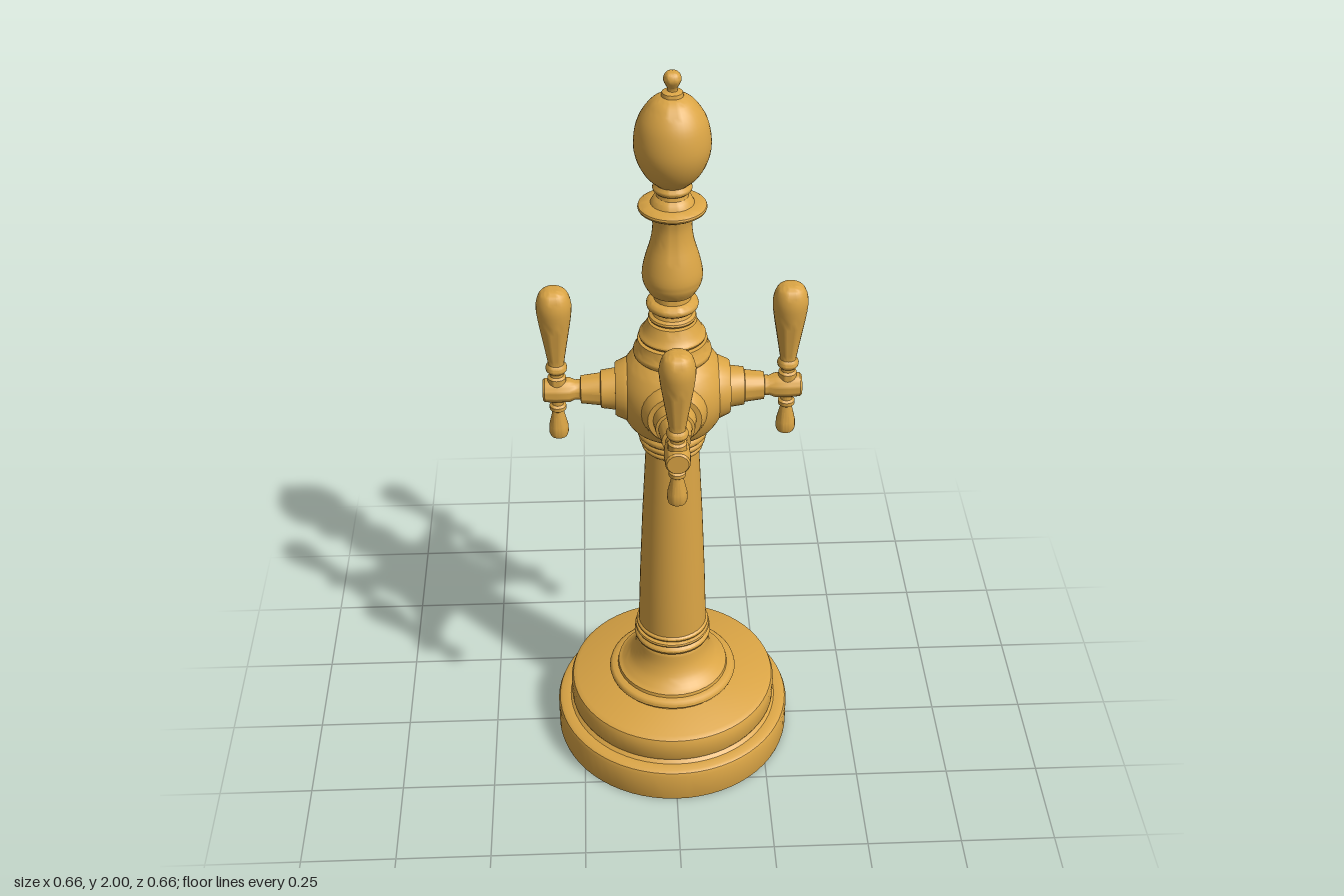
import * as THREE from 'three';
import { toCreasedNormals } from 'three/addons/utils/BufferGeometryUtils.js';

const brass = new THREE.MeshStandardMaterial({ color: 0xdba545 });
brass.name = 'brass';

// Turned part: profile of [radius, height] pairs, bottom to top
function turned(name, profile, segments = 40) {
  const points = profile.map(([r, y]) => new THREE.Vector2(r, y));
  const geometry = toCreasedNormals(new THREE.LatheGeometry(points, segments), 0.6);
  const mesh = new THREE.Mesh(geometry, brass);
  mesh.name = name;
  return mesh;
}

// Smooth profile drawn through a few points
function smooth(profile, count = 20) {
  const curve = new THREE.SplineCurve(profile.map(([r, y]) => new THREE.Vector2(r, y)));
  return curve.getPoints(count).map((p) => [Math.max(p.x, 0), p.y]);
}

// Profile of a rounded ring between two heights
function ring(r, y0, y1, depth = 0.01) {
  const h = y1 - y0;
  return [[r - depth, y0], [r - depth * 0.2, y0 + h * 0.25], [r, y0 + h * 0.5],
    [r - depth * 0.2, y0 + h * 0.75], [r - depth, y1]];
}

// One tap, pointing along +z
function createTap() {
  const tap = new THREE.Group();
  tap.name = 'tap';
  const y = 1.145, z = 0.287;

  const arm = turned('tapArm', [
    [0, 0.08], [0.082, 0.08], [0.082, 0.112], [0.077, 0.122], [0.07, 0.138], [0.066, 0.143],
    [0.053, 0.143], [0.048, 0.178], [0.041, 0.18], [0.035, 0.228], [0.026, 0.23],
    [0.025, 0.242], [0.031, 0.256], [0.032, 0.29], [0.03, 0.318], [0.026, 0.323], [0, 0.323],
  ], 28);
  arm.rotation.x = Math.PI / 2;
  arm.position.y = y;

  const handle = turned('tapHandle', [
    [0, 1.15], [0.023, 1.15], [0.023, 1.185], [0.017, 1.19], [0.017, 1.2], ...ring(0.027, 1.2, 1.225, 0.007),
    ...smooth([[0.02, 1.228], [0.03, 1.29], [0.041, 1.36], [0.043, 1.398], [0.034, 1.427], [0.018, 1.438], [0, 1.44]]),
  ], 24);
  handle.position.z = z;

  const spout = turned('tapSpout', [
    [0, 1.01], [0.022, 1.01], [0.025, 1.02], [0.024, 1.04], [0.016, 1.075], [0.015, 1.085],
    [0.021, 1.09], [0.021, 1.1], [0.015, 1.105], [0.015, 1.14],
  ], 20);
  spout.position.z = z;

  tap.add(arm, handle, spout);
  return tap;
}

export function createModel() {
  const model = new THREE.Group();
  model.name = 'beerTower';

  // Stepped round foot
  model.add(turned('base', [
    [0, 0], [0.32, 0], [0.322, 0.008], [0.322, 0.085], [0.318, 0.095], [0.31, 0.1], [0.287, 0.1],
    [0.278, 0.108], [0.283, 0.118], [0.283, 0.165], [0.278, 0.178], [0.266, 0.185], [0, 0.185],
  ], 64));

  // Flared plinth under the column
  model.add(turned('columnFoot', [
    [0, 0.18], [0.163, 0.18], [0.163, 0.192], ...ring(0.175, 0.192, 0.214, 0.008), [0.152, 0.216], [0.15, 0.225],
    ...smooth([[0.143, 0.228], [0.118, 0.252], [0.102, 0.285], [0.096, 0.322]], 10),
    ...ring(0.104, 0.325, 0.35), ...ring(0.102, 0.35, 0.367), ...ring(0.098, 0.367, 0.384, 0.007),
  ]));

  // Tapered column
  model.add(turned('column', [[0.092, 0.38], [0.087, 0.55], [0.079, 0.75], [0.068, 0.97]]));

  // Stacked collar below the hub
  model.add(turned('lowerCollar', [
    [0.066, 0.966], ...ring(0.079, 0.968, 0.986, 0.006), ...ring(0.085, 0.986, 1.008, 0.007),
    ...ring(0.09, 1.008, 1.03, 0.006), [0.094, 1.042],
  ]));

  // Rounded hub carrying the taps
  model.add(turned('hub', smooth([
    [0.088, 1.032], [0.112, 1.055], [0.133, 1.1], [0.14, 1.143], [0.133, 1.188], [0.112, 1.228], [0.088, 1.252],
  ])));

  // Stepped shoulder rings above the hub
  model.add(turned('shoulder', [
    [0.09, 1.246], ...ring(0.097, 1.248, 1.272, 0.006), [0.089, 1.278], [0.086, 1.296],
    ...ring(0.083, 1.298, 1.316, 0.007), [0.071, 1.326], [0.063, 1.34], [0.06, 1.348],
    ...ring(0.059, 1.35, 1.368), [0.045, 1.378], ...ring(0.064, 1.382, 1.408, 0.009),
    [0.045, 1.41], [0.043, 1.428], [0.055, 1.434],
  ]));

  // Vase-shaped upper stem
  model.add(turned('vase', [[0.04, 1.425], ...smooth([
    [0.056, 1.43], [0.07, 1.456], [0.073, 1.485], [0.065, 1.525], [0.052, 1.57], [0.047, 1.61], [0.05, 1.638],
  ])]));

  // Disc and neck below the finial
  model.add(turned('disc', [
    [0.05, 1.636], [0.06, 1.643], [0.06, 1.65], ...ring(0.082, 1.65, 1.668, 0.008),
    [0.052, 1.67], [0.046, 1.682], [0.038, 1.688], [0.036, 1.697], ...ring(0.047, 1.7, 1.718, 0.006), [0.036, 1.735],
  ]));

  // Egg-shaped finial
  model.add(turned('finial', smooth([
    [0.037, 1.718], [0.064, 1.745], [0.084, 1.785], [0.09, 1.828], [0.08, 1.88], [0.055, 1.92], [0.03, 1.938], [0, 1.944],
  ], 28)));

  // Small knob on top
  model.add(turned('knob', [
    [0.026, 1.938], [0.024, 1.948], [0.012, 1.952], [0.012, 1.96],
    ...smooth([[0.014, 1.963], [0.021, 1.979], [0.015, 1.994], [0, 2]], 10),
  ], 24));

  // Four taps around the hub
  for (let i = 0; i < 4; i++) {
    const tap = createTap();
    tap.rotation.y = i * Math.PI / 2;
    model.add(tap);
  }
  return model;
}
